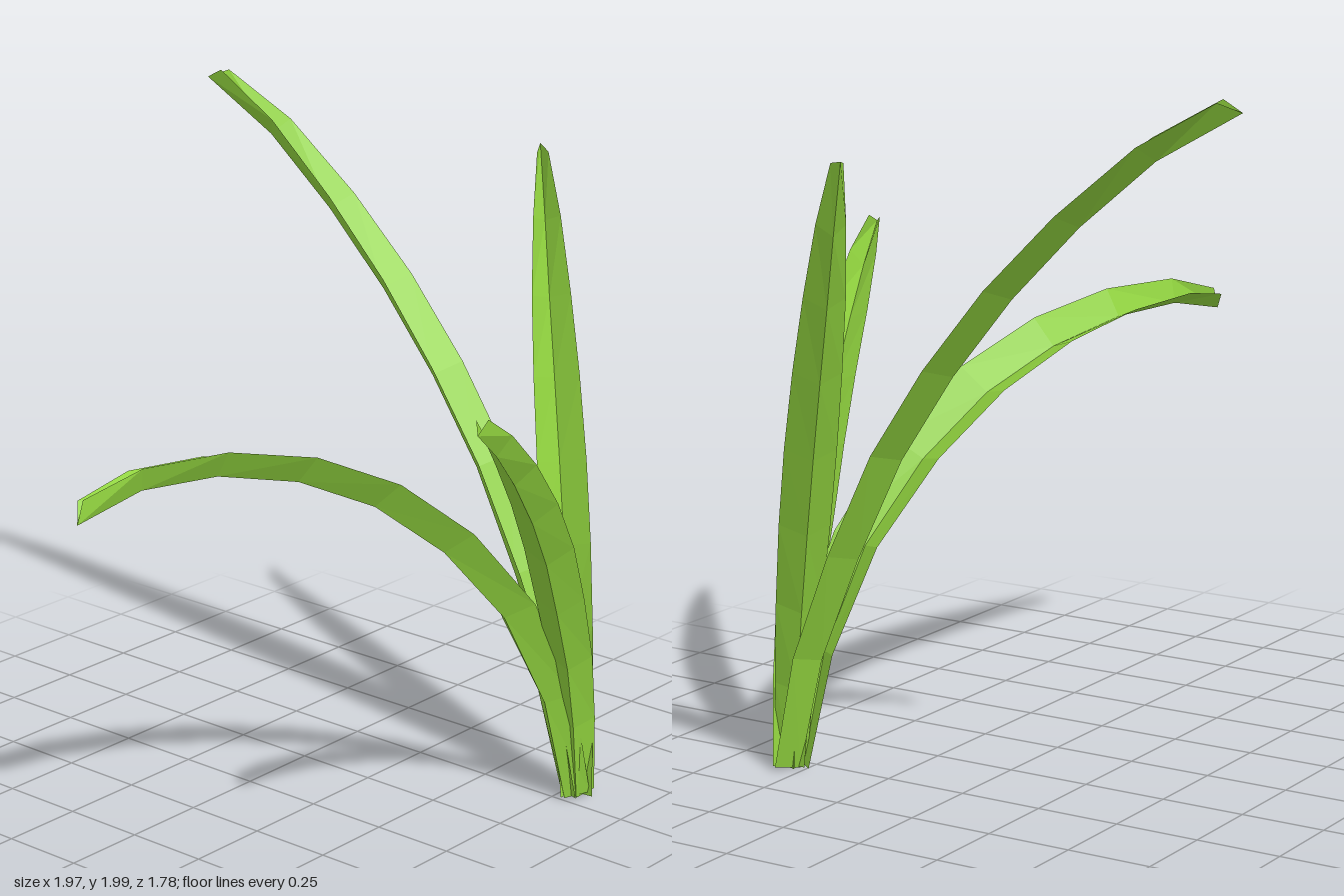
import * as THREE from 'three';

// Half width of a blade and depth of its fold, row by row from root to tip
const HALF_WIDTH = [0.054, 0.066, 0.077, 0.085, 0.086, 0.08, 0.068, 0.048, 0.02];
const FOLD = [0.055, 0.06, 0.062, 0.062, 0.062, 0.062, 0.06, 0.058, 0.055];

// Centre rib of each blade from root to tip; roll tilts the blade about its rib
const BLADES = [
  { name: 'backBlade', width: 1, roll: -0.17, rib: [
    [0.55, 0.01, 0.52], [0.55, 0.34, 0.44], [0.55, 0.65, 0.31], [0.55, 0.95, 0.16], [0.55, 1.2, -0.01],
    [0.55, 1.43, -0.2], [0.55, 1.64, -0.41], [0.55, 1.83, -0.64], [0.545, 1.97, -0.89]] },
  { name: 'leftBlade', width: 0.85, roll: 0.12, rib: [
    [0.57, 0.01, 0.53], [0.588, 0.25, 0.5], [0.622, 0.49, 0.455], [0.672, 0.73, 0.395], [0.728, 0.96, 0.33],
    [0.788, 1.19, 0.26], [0.848, 1.41, 0.19], [0.912, 1.62, 0.12], [0.98, 1.83, 0.045]] },
  { name: 'frontBlade', width: 0.83, roll: -0.15, rib: [
    [0.54, 0.01, 0.56], [0.495, 0.25, 0.575], [0.425, 0.46, 0.6], [0.32, 0.67, 0.635], [0.21, 0.86, 0.675],
    [0.08, 1.03, 0.72], [-0.07, 1.19, 0.77], [-0.23, 1.325, 0.83], [-0.39, 1.435, 0.89]] },
  { name: 'rightBlade', width: 1, roll: -0.35, rib: [
    [0.515, 0.01, 0.535], [0.44, 0.33, 0.51], [0.31, 0.62, 0.455], [0.13, 0.85, 0.375], [-0.07, 1.02, 0.285],
    [-0.29, 1.13, 0.195], [-0.53, 1.19, 0.115], [-0.77, 1.2, 0.06], [-0.99, 1.155, 0.035]] },
];

// Folded leaf: every row holds one edge, the rib and the other edge
function bladeGeometry(rib, width, roll) {
  const points = rib.map((p) => new THREE.Vector3(...p));
  const last = points.length - 1;
  const level = points[last].clone().sub(points[0]).setY(0).normalize().cross(new THREE.Vector3(0, 1, 0));
  const positions = [];
  const index = [];
  points.forEach((p, i) => {
    const tangent = points[Math.min(i + 1, last)].clone().sub(points[Math.max(i - 1, 0)]).normalize();
    const side = level.clone().applyAxisAngle(tangent, -roll);
    const normal = side.clone().cross(tangent).normalize();
    // A positive roll lifts the second edge
    if (side.y * roll < 0) throw new Error('roll direction');
    // The rib runs past the edges at the tip
    const edge = p.clone().addScaledVector(normal, FOLD[i]).addScaledVector(tangent, i === last ? -0.04 : 0);
    const w = HALF_WIDTH[i] * width;
    const a = edge.clone().addScaledVector(side, -w);
    const b = edge.clone().addScaledVector(side, w);
    positions.push(...a.toArray(), ...p.toArray(), ...b.toArray());
    if (i === last) return;
    for (const k of [i * 3, i * 3 + 1]) index.push(k, k + 1, k + 4, k, k + 4, k + 3);
  });
  const geometry = new THREE.BufferGeometry();
  geometry.setAttribute('position', new THREE.Float32BufferAttribute(positions, 3));
  geometry.setIndex(index);
  geometry.computeVertexNormals();
  return geometry;
}

export function createModel() {
  const group = new THREE.Group();
  group.name = 'grassTuft';
  const green = new THREE.MeshStandardMaterial({ color: 0x90d23e, flatShading: true, side: THREE.DoubleSide });
  green.name = 'leafGreen';
  for (const { name, width, roll, rib } of BLADES) {
    const blade = new THREE.Mesh(bladeGeometry(rib, width, roll), green);
    blade.name = name;
    group.add(blade);
  }
  return group;
}
